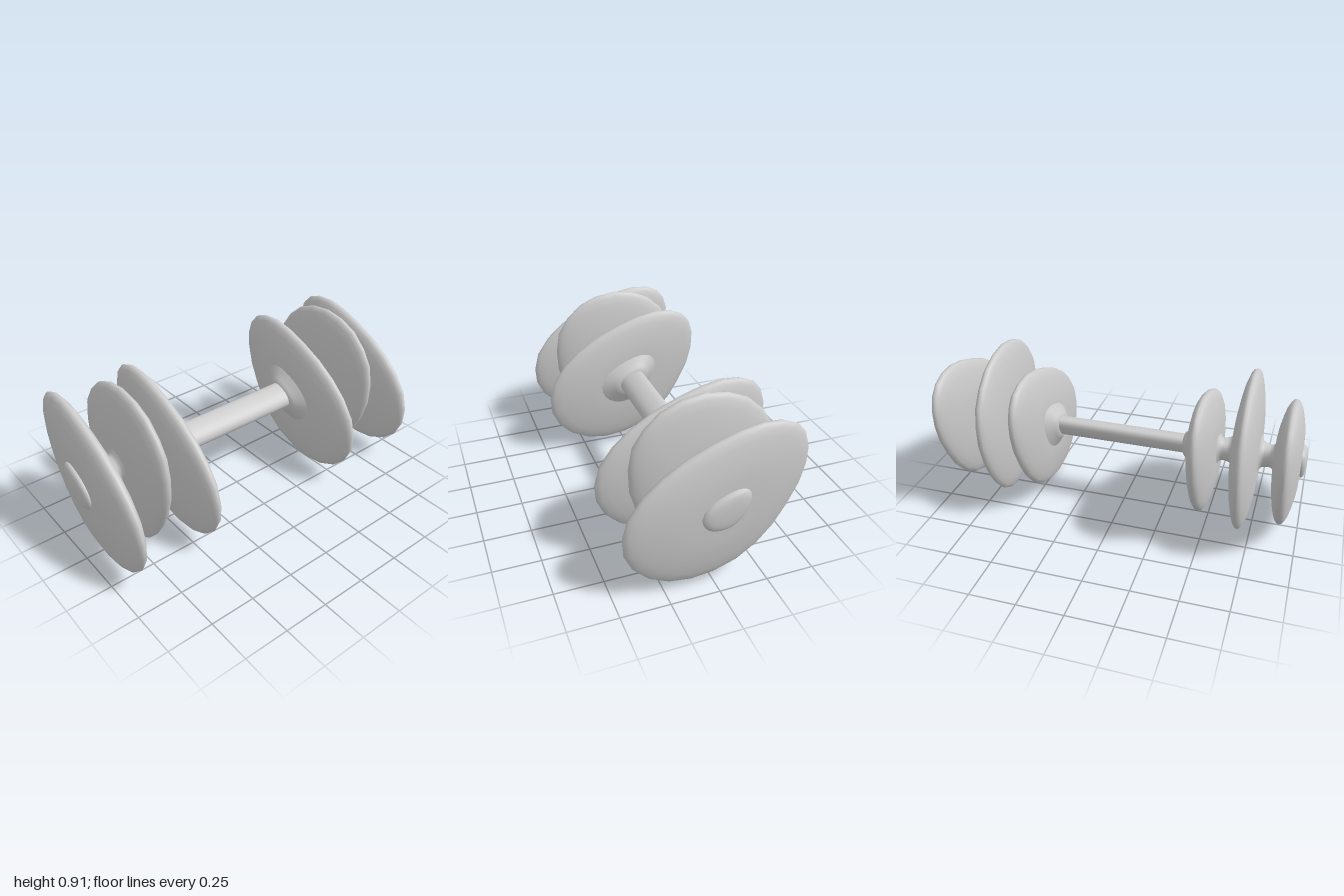
import * as THREE from 'three';

const material = new THREE.MeshStandardMaterial({ color: 0xcccccc });

// Axis of the bar as [z, y]; all cross-sections shrink towards it
const AXIS = [-0.03, 0.462];

// Slanted plate outline as [z, y], from the top towards -z
const SLANTED = [
  [-0.215, 0.84], [-0.31, 0.833], [-0.385, 0.803], [-0.43, 0.75], [-0.452, 0.675], [-0.449, 0.583],
  [-0.422, 0.478], [-0.367, 0.364], [-0.303, 0.26], [-0.22, 0.168], [-0.118, 0.097], [0, 0.056],
  [0.118, 0.043], [0.232, 0.06], [0.332, 0.108], [0.405, 0.18], [0.447, 0.27], [0.453, 0.365],
  [0.425, 0.468], [0.353, 0.568], [0.26, 0.65], [0.142, 0.724], [0.015, 0.78], [-0.105, 0.82],
];

// Upright egg outline: half of it as [half width, y], mirrored
const EGG_HALF = [
  [0, 0.91], [0.113, 0.894], [0.215, 0.85], [0.297, 0.775], [0.355, 0.685], [0.375, 0.57], [0.37, 0.45],
  [0.335, 0.33], [0.285, 0.225], [0.225, 0.135], [0.155, 0.06], [0.08, 0.018], [0, 0.003],
];
const EGG = [
  ...EGG_HALF.map(([w, y]) => [-0.026 - w, y]),
  ...EGG_HALF.slice(1, -1).reverse().map(([w, y]) => [-0.026 + w, y]),
];

// Skin over stations [x, scale, blend], blend 0 = slanted, 1 = egg
function loft(name, stations, side = 1) {
  const rows = side > 0 ? stations : stations.map(([x, s, b]) => [-x, s, b]).reverse();
  const n = SLANTED.length;
  const positions = [];
  const index = [];
  rows.forEach(([x, scale, blend = 0], i) => {
    for (let j = 0; j < n; j++) {
      const [z, y] = [0, 1].map((k) => {
        const p = THREE.MathUtils.lerp(SLANTED[j][k], EGG[j][k], blend);
        return AXIS[k] + (p - AXIS[k]) * scale;
      });
      positions.push(x, y, z);
      if (i === rows.length - 1) continue;
      const a = i * n + j;
      const b = i * n + ((j + 1) % n);
      index.push(a, a + n, b, b, a + n, b + n);
    }
  });
  const geometry = new THREE.BufferGeometry();
  geometry.setAttribute('position', new THREE.Float32BufferAttribute(positions, 3));
  geometry.setIndex(index);
  geometry.computeVertexNormals();
  const mesh = new THREE.Mesh(geometry, material);
  mesh.name = name;
  return mesh;
}

// Half of a plate's thickness: [offset, scale] from rim to hub
const RIM = [[0, 1], [0.013, 0.988], [0.025, 0.945], [0.038, 0.86], [0.05, 0.73], [0.061, 0.57], [0.067, 0.42], [0.07, 0.15]];

function plate(name, x, blend, side) {
  const stations = [
    ...RIM.slice(1).reverse().map(([d, s]) => [x - d, s, blend]),
    ...RIM.map(([d, s]) => [x + d, s, blend]),
  ];
  return loft(name, stations, side);
}

// Waisted spacer between two plates
function spacer(name, x, blendA, blendB, side) {
  const stations = [];
  for (let i = 0; i <= 8; i++) {
    const t = i / 8;
    const u = 2 * t - 1;
    const s = 0.165 + 0.1 * u ** 4;
    stations.push([x + 0.045 * u, s, THREE.MathUtils.lerp(blendA, blendB, t)]);
  }
  return loft(name, stations, side);
}

export function createModel() {
  const model = new THREE.Group();
  model.name = 'dumbbell';

  // Grip bar
  model.add(loft('handle', [[-0.42, 0.155], [0.42, 0.155]]));

  // Weights, mirrored to both ends
  for (const [label, side] of [['left', 1], ['right', -1]]) {
    const weight = new THREE.Group();
    weight.name = `${label}Weight`;
    weight.add(
      loft('collar', [[0.352, 0.15], [0.354, 0.19], [0.365, 0.225], [0.38, 0.28], [0.393, 0.335], [0.405, 0.385]], side),
      plate('innerPlate', 0.468, 0, side),
      spacer('innerSpacer', 0.577, 0, 1, side),
      plate('middlePlate', 0.686, 1, side),
      spacer('outerSpacer', 0.795, 1, 0, side),
      plate('outerPlate', 0.904, 0, side),
      // Domed end cap
      loft('endCap', [[0.965, 0.262], [0.978, 0.26], [0.987, 0.242], [0.994, 0.205], [0.998, 0.15], [1, 0.08], [1, 0.001]], side),
    );
    model.add(weight);
  }
  return model;
}
